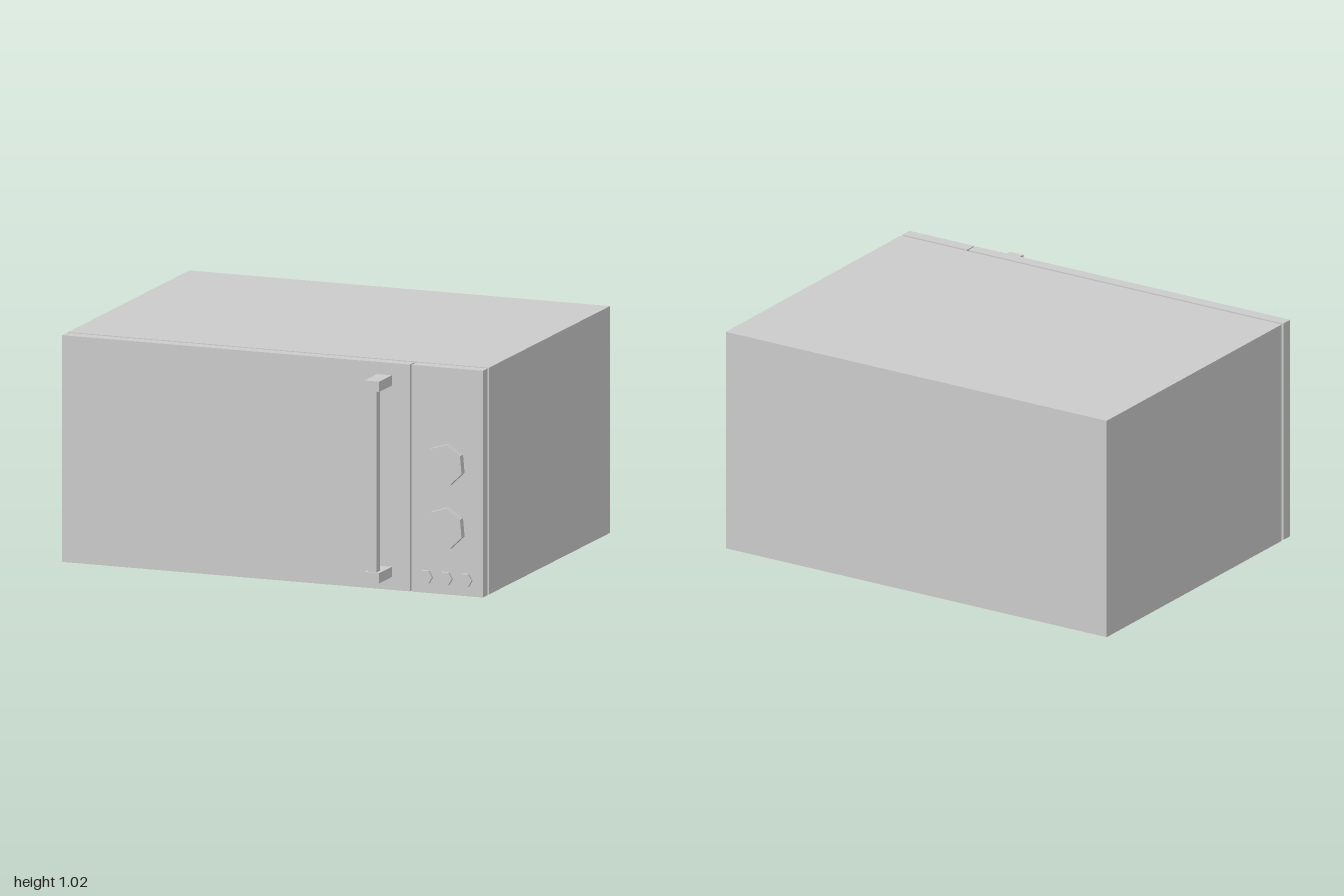
import * as THREE from 'three';

const material = new THREE.MeshStandardMaterial({ color: 0xcccccc, flatShading: true });

export function createModel() {
  const model = new THREE.Group();
  model.name = 'microwaveOven';

  const add = (name, geometry, parent = model) => {
    const mesh = new THREE.Mesh(geometry, material);
    mesh.name = name;
    parent.add(mesh);
    return mesh;
  };

  // Box given by its limits on each axis
  const box = (name, [x0, x1], [y0, y1], [z0, z1], parent) => {
    const mesh = add(name, new THREE.BoxGeometry(x1 - x0, y1 - y0, z1 - z0), parent);
    mesh.position.set((x0 + x1) / 2, (y0 + y1) / 2, (z0 + z1) / 2);
    return mesh;
  };

  // Low-poly disc facing +z, with its first corner at the given angle (degrees)
  const disc = (name, x, y, radius, sides, angle, z0, z1) => {
    const geometry = new THREE.CylinderGeometry(radius, radius, z1 - z0, sides);
    geometry.rotateX(Math.PI / 2);
    geometry.rotateZ(THREE.MathUtils.degToRad(angle + 90));
    add(name, geometry).position.set(x, y, (z0 + z1) / 2);
  };

  const height = 1.02;
  const front = [0.612, 0.668];

  // Cabinet, and the door and control panel standing just in front of it
  box('cabinet', [-1, 1], [0, height], [-0.812, 0.598]);
  box('door', [-1, 0.653], [0, height], front);
  box('controlPanel', [0.66, 1], [0, height], front);

  // Handle: upright bar between two brackets that pass through the door
  const handle = new THREE.Group();
  handle.name = 'handle';
  model.add(handle);
  box('handleBar', [0.509, 0.551], [0.104, 0.92], [0.766, 0.805], handle);
  for (const [name, y] of [['lowerBracket', 0.058], ['upperBracket', 0.919]]) {
    box(name, [0.497, 0.567], [y, y + 0.046], [0.598, 0.814], handle);
  }

  // Two seven-sided knobs
  for (const [name, y] of [['upperKnob', 0.587], ['lowerKnob', 0.301]]) {
    disc(name, 0.825, y, 0.094, 7, 185, front[1] - 0.005, 0.704);
  }

  // Row of three six-sided buttons
  for (let i = 0; i < 3; i++) {
    disc(`button${i + 1}`, 0.731 + i * 0.094, 0.073, 0.033, 6, 0, front[1] - 0.005, 0.685);
  }

  return model;
}
